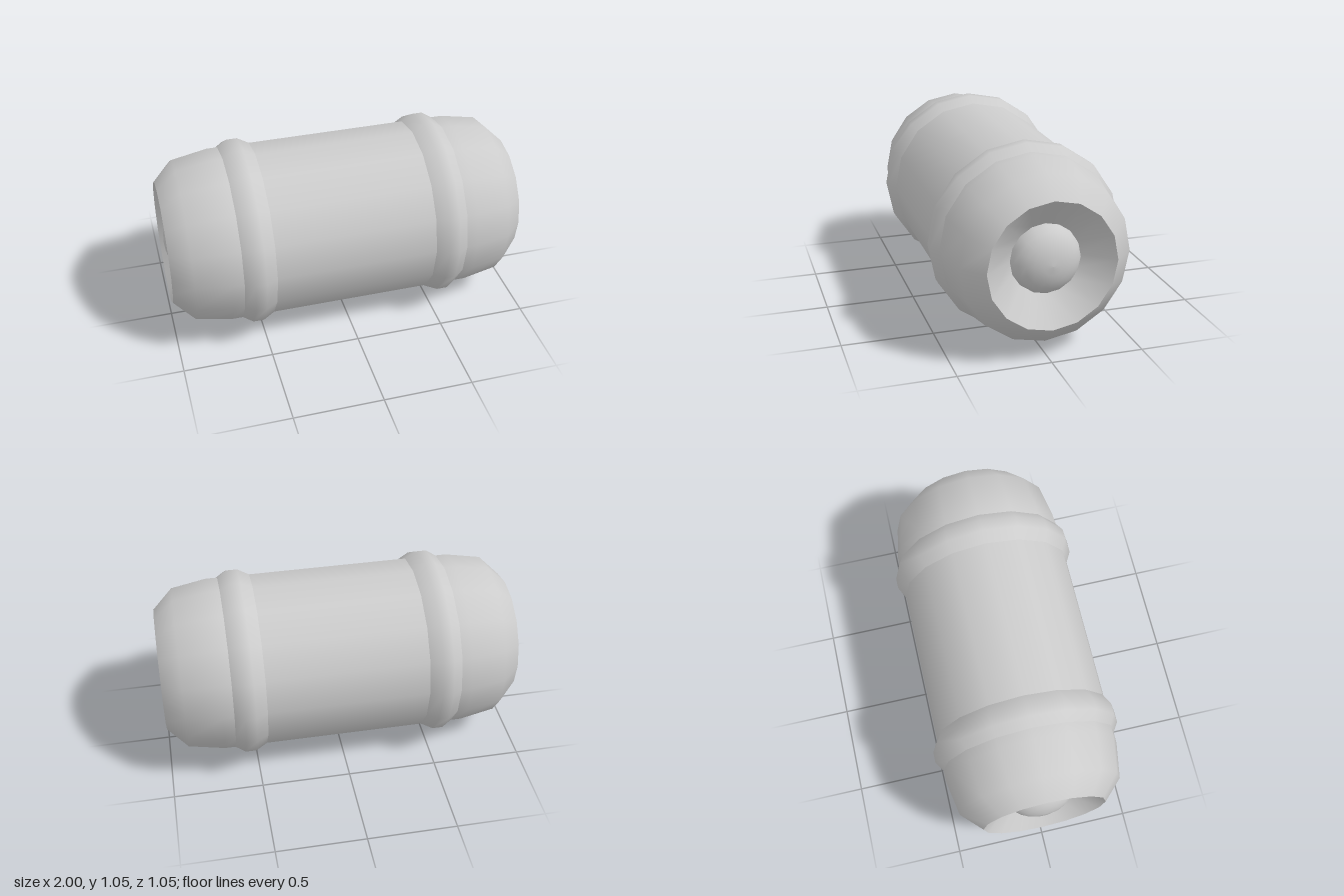
import * as THREE from 'three';

const SIDES = 16;
const AXIS_Y = 0.525;
const material = new THREE.MeshStandardMaterial({ color: 0xcccccc });

// Revolves [radius, position along axis] pairs into a smooth surface.
function turned(name, profile) {
  const points = profile.map(([r, a]) => new THREE.Vector2(r, a));
  const mesh = new THREE.Mesh(new THREE.LatheGeometry(points, SIDES), material);
  mesh.name = name;
  return mesh;
}

// One end of the drum, with its axis along +y.
function createEnd(name) {
  const end = new THREE.Group();
  end.name = name;

  // raised hoop around the drum
  end.add(turned('band', [[0.49, 0.45], [0.525, 0.515], [0.525, 0.575], [0.49, 0.63]]));

  // rounded shoulder
  end.add(turned('shoulder', [[0.49, 0.63], [0.49, 0.69], [0.455, 0.89], [0.345, 1]]));

  // conical recess
  end.add(turned('recess', [[0.345, 1], [0.187, 0.87]]));

  // flattened dome sitting in the recess
  const dome = [];
  for (let i = 0; i <= 6; i++) {
    const t = (i / 6) * Math.PI / 2;
    dome.push([i === 6 ? 0 : 0.187 * Math.cos(t), 0.87 + 0.125 * Math.sin(t)]);
  }
  end.add(turned('dome', dome));
  return end;
}

export function createModel() {
  const model = new THREE.Group();
  model.name = 'barrel';

  // straight middle section
  const body = turned('body', [[0.49, -0.45], [0.49, 0.45]]);
  body.rotation.z = -Math.PI / 2;
  body.position.y = AXIS_Y;
  model.add(body);

  // matching ends
  for (const side of [1, -1]) {
    const end = createEnd(side > 0 ? 'leftEnd' : 'rightEnd');
    end.rotation.z = -side * Math.PI / 2;
    end.position.y = AXIS_Y;
    model.add(end);
  }
  return model;
}
